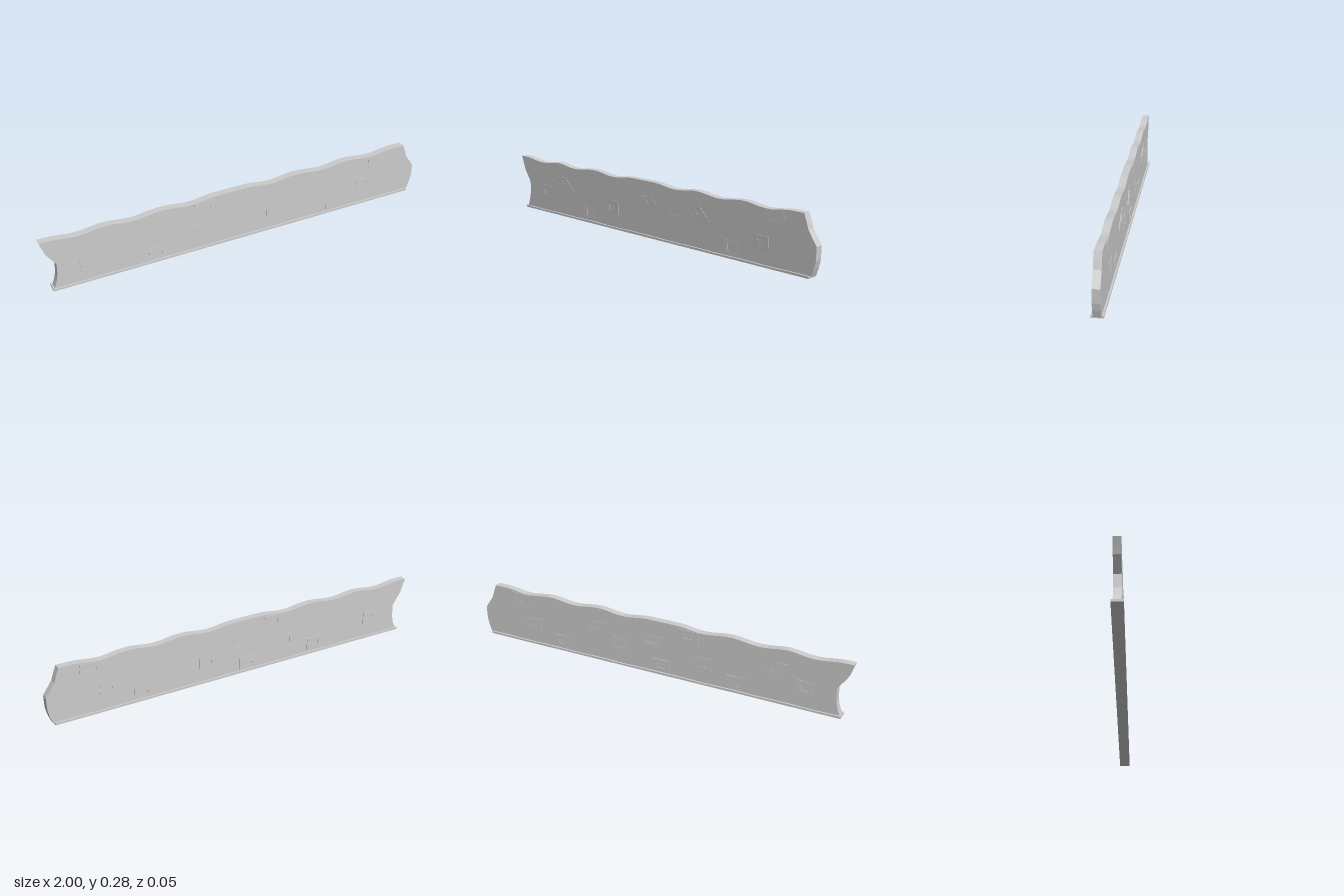
import * as THREE from 'three';

const material = new THREE.MeshStandardMaterial({ color: 0xcccccc, flatShading: true });
const PITCH = 0.965; // the wall is two repeats of one section
const V = (x, y) => new THREE.Vector2(x, y);

// Extrude an outline symmetrically about z = 0
function slab(name, shape, depth) {
  const geo = new THREE.ExtrudeGeometry(shape, { depth, bevelEnabled: false, curveSegments: 1 });
  geo.translate(0, 0, -depth / 2);
  const mesh = new THREE.Mesh(geo, material);
  mesh.name = name;
  return mesh;
}

// Wavy edge sampled left to right: low points dip below the crest line
function wavyEdge(x0, x1, crest, depth) {
  const dips = [-0.82, -0.55, -0.26, 0.17, 0.45, 0.73];
  const n = 56, pts = [];
  for (let i = 0; i <= n; i++) {
    const x = x0 + (x1 - x0) * i / n;
    let d = 0;
    for (const c of dips) {
      const t = Math.abs(x - c) / 0.14;
      if (t < 1) d += 0.5 + 0.5 * Math.cos(Math.PI * t);
    }
    pts.push(V(x, crest - depth * d));
  }
  return pts;
}

// Four-sided stone with a smaller opening of the same form in its middle
function stone(name, x, y, w, h, skewX, skewY, tiltX, tiltY) {
  const corners = (s) => [[-1, -1], [1, -1], [1, 1], [-1, 1]].map(([a, b]) =>
    V(s * (a * w / 2 + b * skewX), s * (b * h / 2 + a * skewY)));
  const shape = new THREE.Shape(corners(1));
  shape.holes.push(new THREE.Path(corners(0.48).reverse()));
  const mesh = slab(name, shape, 0.0395);
  mesh.position.set(x, y, -0.0005);
  mesh.rotation.set(tiltX, tiltY, 0);
  return mesh;
}

export function createModel() {
  const group = new THREE.Group();

  // Wall: hollow left end and bulging right end share one profile so sections interlock
  const end = [[-0.953, 0.008], [-0.94, 0.045], [-0.932, 0.08], [-0.93, 0.145], [-0.975, 0.21], [-0.985, 0.24]];
  const outline = end.map(([x, y]) => V(x, y));
  outline.push(...wavyEdge(-1, 0.93, 0.28, 0.014));
  outline.push(...end.map(([x, y]) => V(x + PITCH * 2, y)).reverse());
  group.add(slab('wall', new THREE.Shape(outline), 0.036));

  // Base strip with a gently uneven top
  const base = [V(-0.96, 0), ...wavyEdge(-0.96, 0.97, 0.011, 0.002), V(0.97, 0)];
  group.add(slab('baseStrip', new THREE.Shape(base), 0.054));

  // Stones set through the wall: x, y, width, height, skewX, skewY, tiltX, tiltY
  const stones = [
    [-0.78, 0.113, 0.085, 0.064, 0, 0, 0.01, 0.02],
    [-0.635, 0.178, 0.075, 0.058, -0.028, -0.002, 0.02, -0.01],
    [-0.435, 0.052, 0.09, 0.064, 0, 0, -0.01, 0.02],
    [-0.186, 0.238, 0.108, 0.056, 0, 0.003, -0.015, 0.01],
    [-0.265, 0.109, 0.085, 0.064, 0, 0, 0.01, -0.015],
  ];
  for (const [x, ...rest] of stones)
    for (const k of [0, 1]) group.add(stone('wallStone', x + PITCH * k, ...rest));
  group.add(stone('middleStone', 0.005, 0.172, 0.08, 0.058, -0.02, -0.002, 0.02, 0.02));

  // One stone shows on the back only
  const backStone = stone('backStone', -0.04, 0.048, 0.09, 0.062, 0, 0, 0, 0);
  backStone.position.z = -0.002;
  group.add(backStone);
  return group;
}
